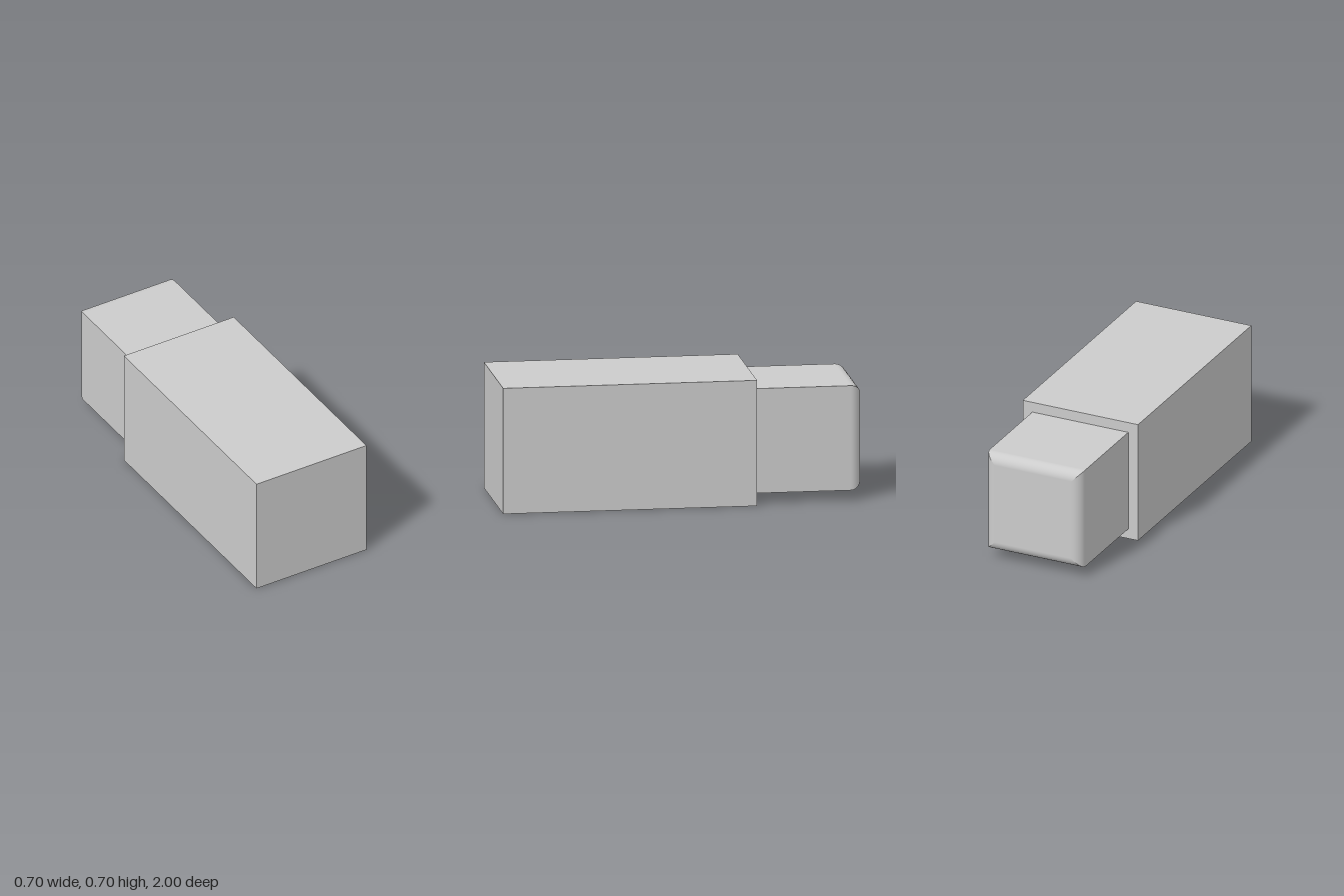
import * as THREE from 'three';
import { mergeGeometries } from 'three/addons/utils/BufferGeometryUtils.js';

const BODY = 0.705, CAP = 0.587, JOIN = -0.41, ROUND = 0.06, STEPS = 10;

// One side of the cap, facing +y: rows run from the middle of the back end,
// round the bevel and forward to the body; mitred against its neighbours.
function capSide() {
  const h = CAP / 2;
  const rows = [{ half: 0, z: -1, a: Math.PI / 2 }];
  for (let i = STEPS; i >= 0; i--) {
    const a = (i / STEPS) * Math.PI / 2;
    rows.push({ half: h - ROUND + ROUND * Math.cos(a), z: -1 + ROUND - ROUND * Math.sin(a), a });
  }
  rows.push({ half: h, z: JOIN, a: 0 });

  const geo = new THREE.PlaneGeometry(1, 1, 1, rows.length - 1);
  const { position, normal } = geo.attributes;
  rows.forEach(({ half, z, a }, r) => {
    [-1, 1].forEach((s, c) => {
      position.setXYZ(r * 2 + c, s * half, half, z);
      normal.setXYZ(r * 2 + c, 0, Math.cos(a), -Math.sin(a));
    });
  });
  return geo;
}

export function createModel() {
  const group = new THREE.Group();
  const material = new THREE.MeshStandardMaterial({ color: 0xcccccc });

  // Long square body
  const length = 1 - JOIN;
  const body = new THREE.Mesh(new THREE.BoxGeometry(BODY, BODY, length), material);
  body.name = 'body';
  body.position.set(0, BODY / 2, 1 - length / 2);
  group.add(body);

  // Narrower rear cap with sharp long edges and a rounded back rim
  const sides = [0, 1, 2, 3].map((k) => capSide().rotateZ(k * Math.PI / 2));
  const cap = new THREE.Mesh(mergeGeometries(sides), material);
  cap.name = 'rearCap';
  cap.position.y = BODY / 2;
  group.add(cap);

  return group;
}
